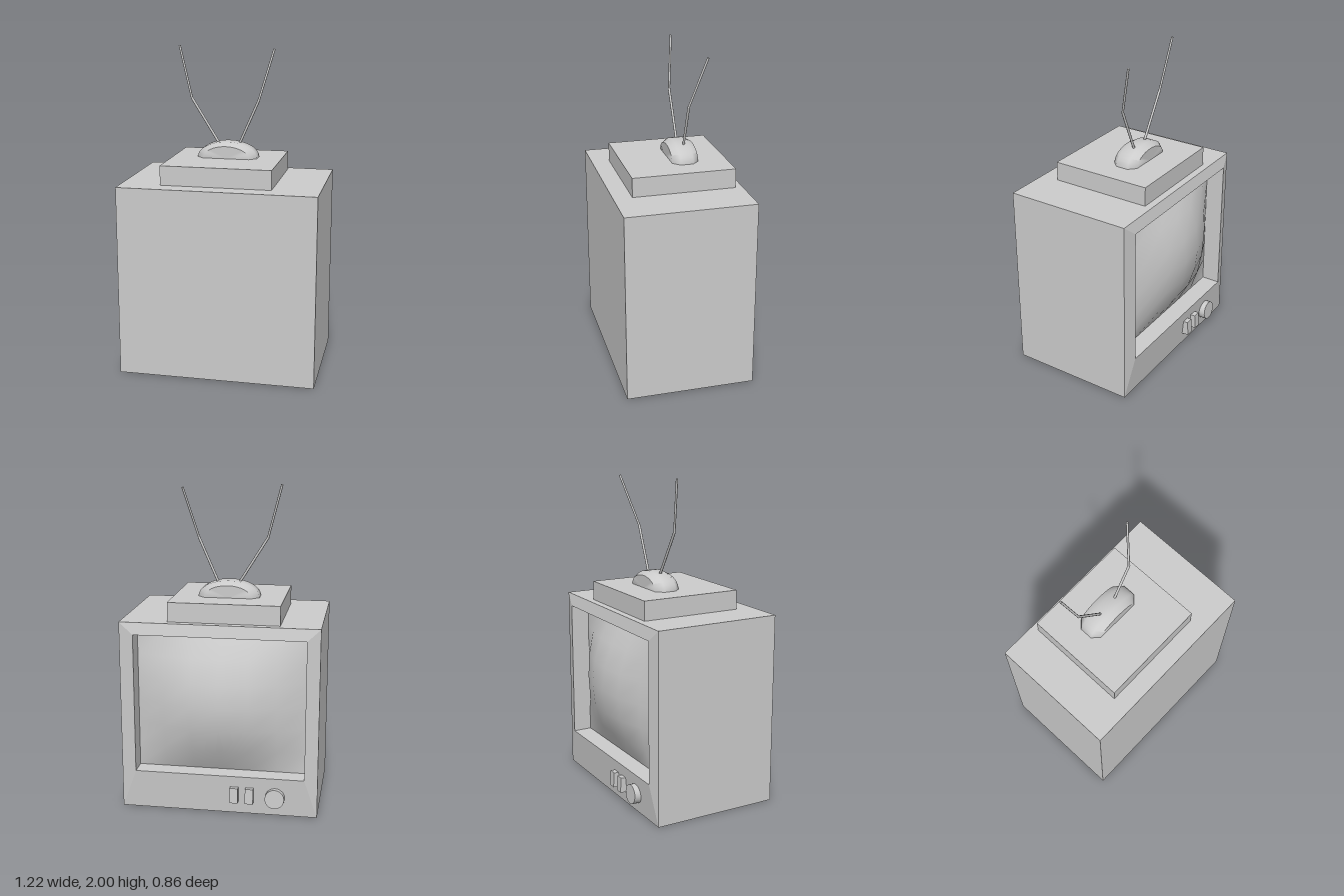
import * as THREE from 'three';
import { toCreasedNormals } from 'three/addons/utils/BufferGeometryUtils.js';

const grey = new THREE.MeshStandardMaterial({ color: 0xcccccc });

function add(parent, name, geometry, x = 0, y = 0, z = 0) {
  const mesh = new THREE.Mesh(geometry, grey);
  mesh.name = name;
  mesh.position.set(x, y, z);
  parent.add(mesh);
  return mesh;
}

// Flat-sided shell through rectangular rings [x0, x1, y0, y1, z], closed at the first ring.
function rectLoft(rings) {
  const corners = rings.map(([x0, x1, y0, y1, z]) =>
    [[x0, y0, z], [x1, y0, z], [x1, y1, z], [x0, y1, z]]);
  const pos = [];
  const quad = (a, b, c, d) => pos.push(...a, ...b, ...c, ...a, ...c, ...d);
  quad(...corners[0]);
  for (let i = 0; i + 1 < corners.length; i++) {
    for (let k = 0; k < 4; k++) {
      const n = (k + 1) % 4;
      quad(corners[i][k], corners[i + 1][k], corners[i + 1][n], corners[i][n]);
    }
  }
  const geo = new THREE.BufferGeometry();
  geo.setAttribute('position', new THREE.Float32BufferAttribute(pos, 3));
  geo.computeVertexNormals();
  return geo;
}

// Thin straight rod between two points.
function rod(parent, name, from, to, radius) {
  const a = new THREE.Vector3(...from), b = new THREE.Vector3(...to);
  const mesh = add(parent, name, new THREE.CylinderGeometry(radius, radius, a.distanceTo(b), 8));
  mesh.position.copy(a).lerp(b, 0.5);
  mesh.quaternion.setFromUnitVectors(new THREE.Vector3(0, 1, 0), b.sub(a).normalize());
}

export function createModel() {
  const model = new THREE.Group();
  model.name = 'television';

  // Cabinet with a sloped bezel and a recessed screen opening on the -z side
  const open = { x0: -0.53, x1: 0.52, y0: 0.245, y1: 1.117 };
  const outer = [-0.61, 0.61, 0, 1.19];
  const inner = [open.x0, open.x1, open.y0, open.y1];
  const recessZ = -0.272;
  add(model, 'cabinet', rectLoft([
    [...outer, 0.43], [...outer, -0.37], [...inner, -0.39], [...inner, recessZ],
  ]));

  // Bulging screen glass
  const w = open.x1 - open.x0, h = open.y1 - open.y0;
  const glass = new THREE.PlaneGeometry(w, h, 6, 6);
  const p = glass.attributes.position;
  for (let i = 0; i < p.count; i++) {
    const u = p.getX(i) / (w / 2), v = p.getY(i) / (h / 2);
    p.setZ(i, 0.158 * (1 - u * u) * (1 - v * v));
  }
  glass.computeVertexNormals();
  glass.rotateY(Math.PI);
  add(model, 'screen', glass, (open.x0 + open.x1) / 2, (open.y0 + open.y1) / 2, recessZ);

  // Controls below the screen, tilted with the bezel
  const controls = new THREE.Group();
  controls.name = 'controls';
  controls.position.set(0, 0.125, -0.38);
  controls.rotation.x = 0.06;
  model.add(controls);
  const dial = new THREE.CylinderGeometry(0.06, 0.06, 0.06, 20).rotateX(Math.PI / 2);
  add(controls, 'dial', toCreasedNormals(dial, 0.7), -0.352, -0.004, -0.011);
  for (const x of [-0.195, -0.1]) {
    add(controls, 'button', new THREE.BoxGeometry(0.05, 0.095, 0.06), x, 0.002, -0.008);
  }

  // Flat box on top
  add(model, 'topBox', new THREE.BoxGeometry(0.685, 0.12, 0.64), -0.0225, 1.25, -0.005);

  // Half-oval aerial base with chamfered ends
  const profile = [[0, -0.0825], [0.77, -0.0825], [1, -0.04], [1, 0.04], [0.77, 0.0825], [0, 0.0825]]
    .map(([r, y]) => new THREE.Vector2(r, y));
  const base = new THREE.LatheGeometry(profile, 16, -Math.PI / 2, Math.PI);
  base.rotateX(-Math.PI / 2);
  base.scale(0.19, 0.1, 1);
  add(model, 'aerialBase', toCreasedNormals(base, 0.9), -0.02, 1.31, -0.0625);

  // Bent rabbit-ear rods
  const aerials = {
    rightAerial: [[-0.075, 1.385, -0.062], [-0.255, 1.675, -0.062], [-0.34, 1.998, -0.095]],
    leftAerial: [[0.045, 1.385, -0.072], [0.17, 1.67, -0.07], [0.25, 1.98, -0.162]],
  };
  for (const [name, pts] of Object.entries(aerials)) {
    const aerial = new THREE.Group();
    aerial.name = name;
    model.add(aerial);
    rod(aerial, 'lowerRod', pts[0], pts[1], 0.008);
    rod(aerial, 'upperRod', pts[1], pts[2], 0.007);
    add(aerial, 'bend', new THREE.SphereGeometry(0.008, 8, 6), ...pts[1]);
  }

  return model;
}
